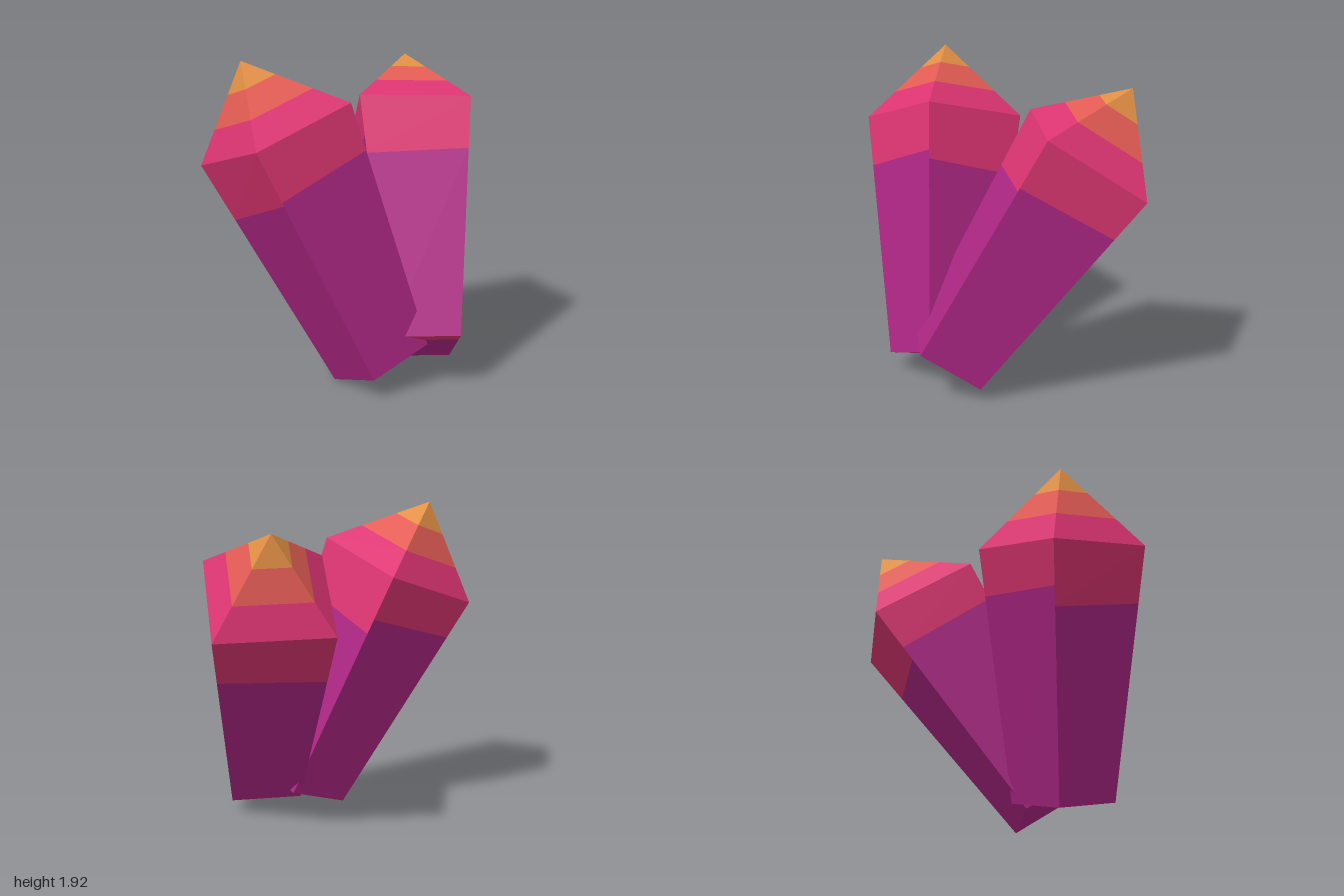
import * as THREE from 'three';

const v = (x, y, z) => new THREE.Vector3(x, y, z);
const mix = (a, b, t) => a.clone().lerp(b, t);
const mat = (name, color) => Object.assign(new THREE.MeshStandardMaterial({ color }), { name });

// Mesh from flat quads, corners counter-clockwise seen from outside
function quadMesh(name, quads, material) {
  const points = [];
  for (const [a, b, c, d] of quads) points.push(a, b, c, a, c, d);
  const geometry = new THREE.BufferGeometry().setFromPoints(points);
  geometry.computeVertexNormals();
  const mesh = new THREE.Mesh(geometry, material);
  mesh.name = name;
  return mesh;
}

// Where the pink collar ends on each side: fraction down its left and right edge
const COLLAR = [[0.25, 0.225], [0.21, 0.19], [0.225, 0.25], [0.187, 0.172]];

// Tapered four-sided shaft with a colour-banded pyramid tip
function crystal(name, top, p0, p1, p3, apex, mats) {
  const foot = [p0, p1, p1.clone().add(p3).sub(p0), p3];
  const shaft = [], collar = [], middle = [], tip = [];
  for (let i = 0; i < 4; i++) {
    const j = (i + 1) % 4;
    const l = mix(top[i], foot[i], COLLAR[i][0]);
    const r = mix(top[j], foot[j], COLLAR[i][1]);
    shaft.push([foot[i], foot[j], r, l]);
    collar.push([l, r, top[j], top[i]]);
    // pyramid bands
    const level = (t) => [mix(top[i], apex, t), mix(top[j], apex, t)];
    const band = (t0, t1) => [...level(t0), ...level(t1).reverse()];
    collar.push(band(0, 0.345));
    middle.push(band(0.345, 0.68));
    tip.push(band(0.68, 1));
  }
  // underside with a narrow strip along one edge
  const s0 = mix(foot[0], foot[3], 0.18), s1 = mix(foot[1], foot[2], 0.18);
  collar.push([foot[0], s0, s1, foot[1]]);
  shaft.push([s0, foot[3], foot[2], s1]);

  const group = new THREE.Group();
  group.name = name;
  group.add(
    quadMesh('shaft', shaft, mats.purple),
    quadMesh('collar', collar, mats.pink),
    quadMesh('tipMiddle', middle, mats.coral),
    quadMesh('tipEnd', tip, mats.orange),
  );
  return group;
}

export function createModel() {
  const mats = {
    purple: mat('purple', 0xaf2786),
    pink: mat('pink', 0xdd3572),
    coral: mat('coral', 0xe35c54),
    orange: mat('orange', 0xe28f44),
  };
  const model = new THREE.Group();
  model.name = 'crystalCluster';
  model.add(
    crystal('frontCrystal',
      [v(-0.52, 1.3, 0.88), v(0.14, 1.475, 1), v(0.195, 1.69, 0.345), v(-0.465, 1.515, 0.23)],
      v(0.06, 0, 0.36), v(0.47, 0.115, 0.43), v(0.094, 0.133, -0.05),
      v(-0.3, 1.92, 0.745), mats),
    crystal('backCrystal',
      [v(-0.21, 1.655, -0.11), v(0.21, 1.635, -0.66), v(-0.25, 1.255, -1), v(-0.67, 1.275, -0.455)],
      v(0.41, 0.325, 0.25), v(0.67, 0.313, -0.09), v(0.125, 0.088, 0.04),
      v(-0.425, 1.845, -0.72), mats),
  );
  return model;
}
